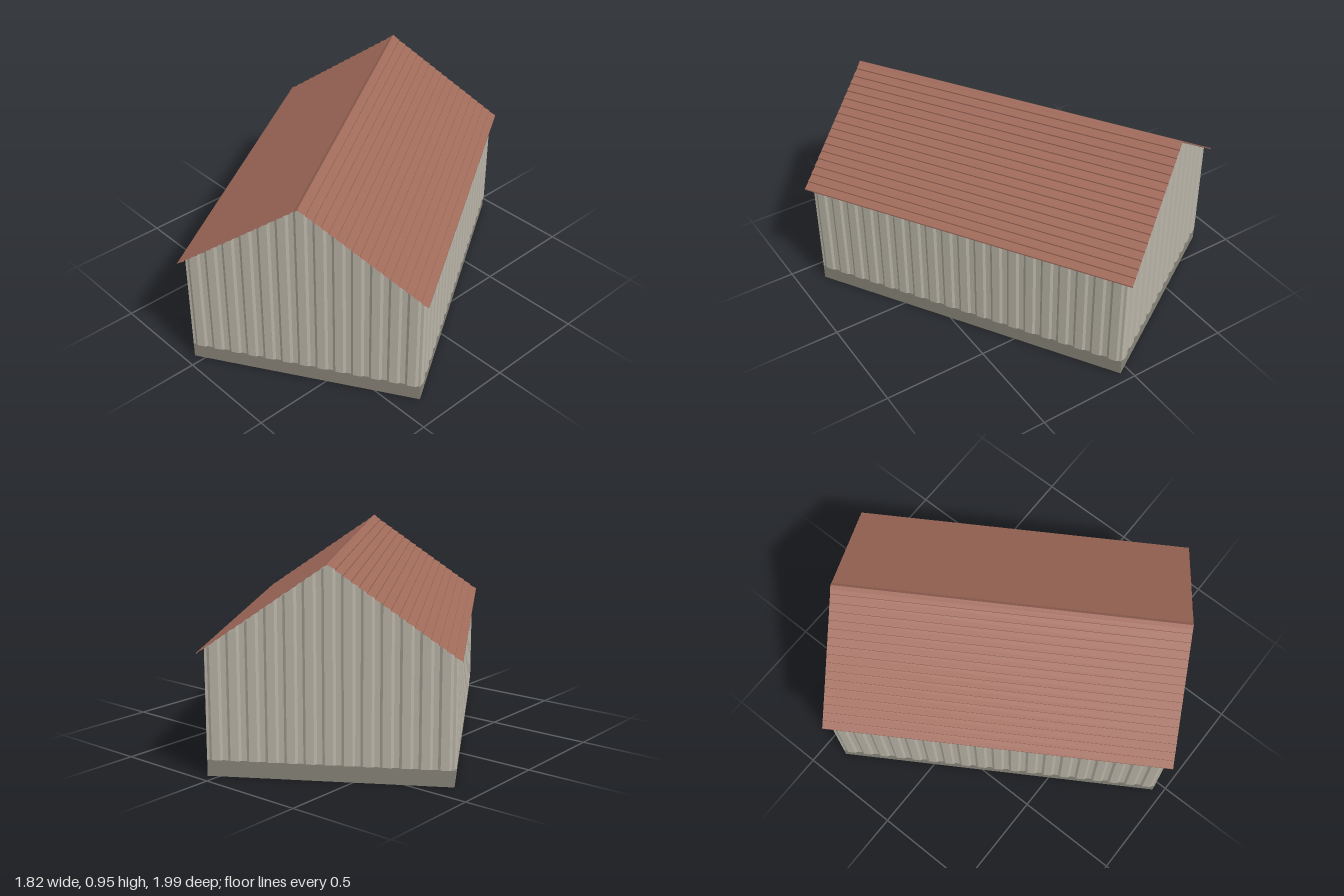
import * as THREE from 'three';

const ANGLE = 0.551;                     // the house stands turned on its plot
const BASE_TOP = 0.075;
const RIDGE = 0.948, SLOPE = 0.7;        // roof line: y = RIDGE - SLOPE * |x|
const ROOF_W = 0.563, ROOF_L = 0.82;     // half sizes
const BASE_W = 0.537, BASE_L = 0.788;

const roofY = (x) => RIDGE - SLOPE * Math.abs(x);

function mesh(name, geometry, color) {
  const material = new THREE.MeshStandardMaterial({ color, side: THREE.DoubleSide, flatShading: true });
  const m = new THREE.Mesh(geometry, material);
  m.name = name;
  return m;
}

// Sheet of quads between two matching point paths
function sheet(low, high) {
  const pos = [];
  for (let i = 0; i < low.length - 1; i++) {
    const [a, b, c, d] = [low[i], low[i + 1], high[i + 1], high[i]];
    for (const p of [a, b, c, a, c, d]) pos.push(...p);
  }
  const g = new THREE.BufferGeometry();
  g.setAttribute('position', new THREE.Float32BufferAttribute(pos, 3));
  g.computeVertexNormals();
  return g;
}

// Cross-section in x,y swept from the front gable to the back gable
const sweep = (profile, half) =>
  sheet(profile.map(([x, y]) => [x, y, half]), profile.map(([x, y]) => [x, y, -half]));

// Ribbed cladding outline of one wall: [distance along, offset outwards]
function ribbedEdge(half, ribs) {
  const pts = [[-half, 0]];
  const pitch = (2 * half) / ribs;
  for (let i = 0; i < ribs; i++) {
    const s = -half + i * pitch;
    for (const [f, o] of [[0.14, 0], [0.28, 0.007], [0.72, 0.007], [0.86, 0]]) pts.push([s + f * pitch, o]);
  }
  pts.push([half, 0]);
  return pts;
}

function wallOutline() {
  const gable = ribbedEdge(BASE_W, 13);
  // extra point under the ridge
  gable.splice(gable.findIndex(([s]) => s > 0), 0, [0, 0.007]);
  const side = ribbedEdge(BASE_L, 19);
  return [
    ...gable.map(([s, o]) => [s, BASE_L + o]),
    ...side.map(([s, o]) => [BASE_W + o, -s]),
    ...gable.map(([s, o]) => [-s, -BASE_L - o]),
    ...side.map(([s, o]) => [-BASE_W - o, s]),
  ];
}

// Overlapping courses from eave to ridge to eave
function roofProfile(courses, step) {
  const half = [];
  for (let i = 0; i < courses; i++) {
    const x0 = (ROOF_W * i) / courses, x1 = (ROOF_W * (i + 1)) / courses;
    half.push([x0, roofY(x0)], [x1, roofY(x1) + step]);
  }
  half.push([ROOF_W, roofY(ROOF_W)]);
  const mirrored = half.slice(1).reverse().map(([x, y]) => [-x, y]);
  return [...mirrored, ...half];
}

export function createModel() {
  const house = new THREE.Group();
  house.name = 'house';

  // plinth: open ring of four faces
  const corners = [[-1, 1], [1, 1], [1, -1], [-1, -1], [-1, 1]].map(([x, z]) => [x * BASE_W, z * BASE_L]);
  house.add(mesh('plinth',
    sheet(corners.map(([x, z]) => [x, 0, z]), corners.map(([x, z]) => [x, BASE_TOP, z])), 0x8a867b));

  // ribbed walls rising to the roof line
  const outline = wallOutline();
  house.add(mesh('walls',
    sheet(outline.map(([x, z]) => [x, BASE_TOP, z]),
      outline.map(([x, z]) => [x, roofY(x) - 0.002, z])), 0xbab5a8));

  // gable roof with stepped courses
  house.add(mesh('roof', sweep(roofProfile(17, 0.006), ROOF_L), 0xa06a5a));

  // ridge cap
  const cap = [[-0.016, roofY(0.016) + 0.006], [0, RIDGE + 0.007], [0.016, roofY(0.016) + 0.006]];
  house.add(mesh('ridgeCap', sweep(cap, ROOF_L), 0xa06a5a));

  house.rotation.y = ANGLE;
  const model = new THREE.Group();
  model.add(house);
  return model;
}
